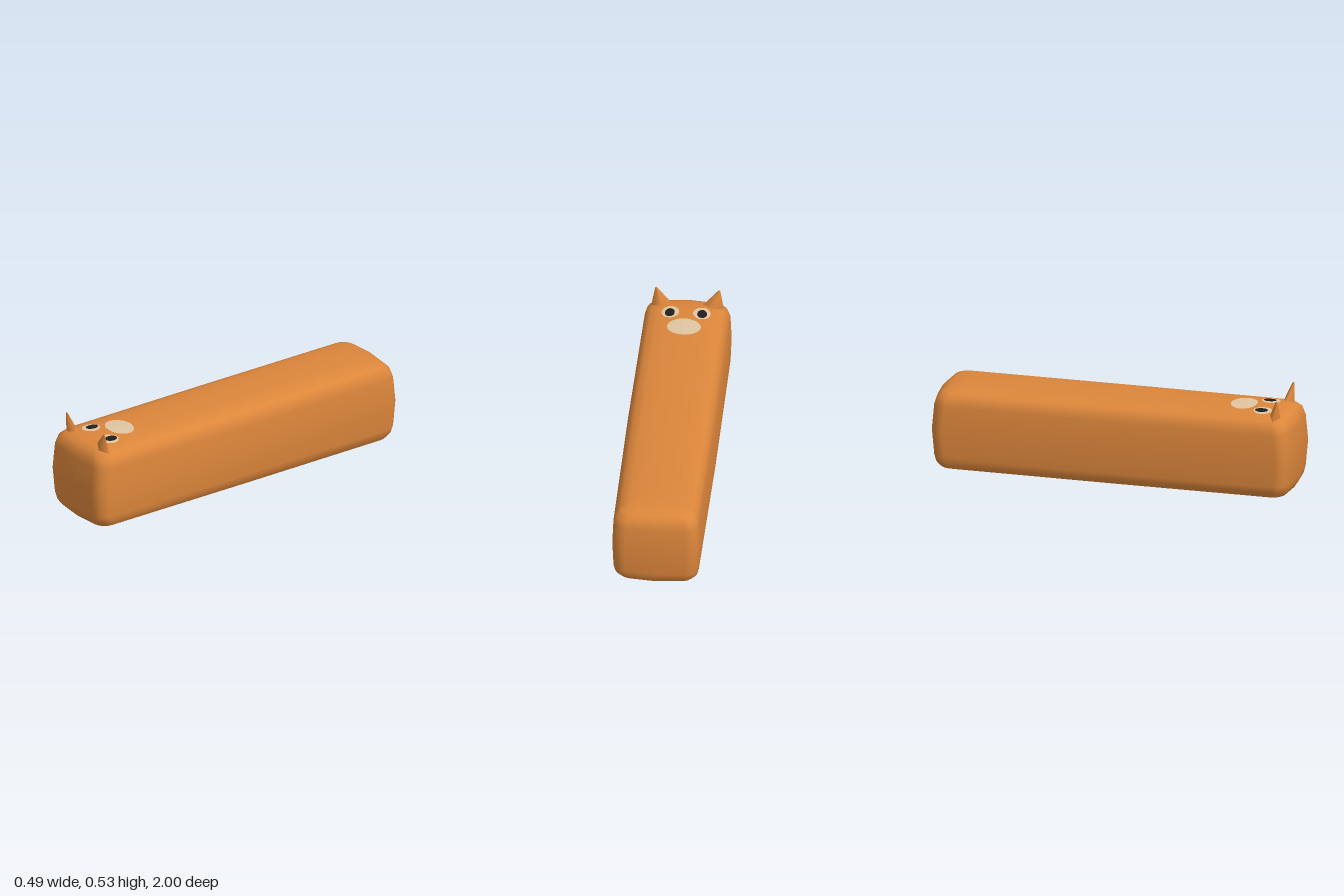
import * as THREE from 'three';
import { mergeVertices } from 'three/addons/utils/BufferGeometryUtils.js';

// Body levels from the open bottom to the ridge: height, half width, half length, side bulge
const LEVELS = [
  [0, 0.205, 0.96, 0.003], [0.03, 0.225, 0.98, 0.004], [0.065, 0.233, 0.988, 0.005],
  [0.21, 0.245, 1, 0.012], [0.35, 0.233, 0.988, 0.005], [0.395, 0.22, 0.975, 0.004],
  [0.42, 0.195, 0.952, 0.003], [0.434, 0.155, 0.92, 0.002], [0.442, 0.09, 0.855, 0],
  [0.445, 0, 0.765, 0],
];

// Rounded rectangle with gently bowed sides, as [x, z] points
function outline(hx, hz, bulge) {
  const r = Math.min(0.07, hx), bow = Math.min(0.012, hx * 0.06);
  const q = [[hx, 0]];
  for (let k = 0; k <= 5; k++) {
    const a = (k / 5) * Math.PI / 2;
    q.push([Math.max(0, hx - bulge - r + r * Math.cos(a)), hz - bow - r + r * Math.sin(a)]);
  }
  q.push([0, hz]);
  const back = [...q].reverse();
  return [
    ...q,
    ...back.slice(1).map(([x, z]) => [-x, z]),
    ...q.slice(1).map(([x, z]) => [-x, -z]),
    ...back.slice(1, -1).map(([x, z]) => [x, -z]),
  ];
}

// Joins equal-length rings of [x, y, z] points into a smooth skin
function skin(rings) {
  const n = rings[0].length, index = [];
  for (let j = 0; j < rings.length - 1; j++) {
    for (let i = 0; i < n; i++) {
      const a = j * n + i, c = j * n + (i + 1) % n;
      index.push(a, a + n, c, c, a + n, c + n);
    }
  }
  const g = new THREE.BufferGeometry();
  g.setAttribute('position', new THREE.Float32BufferAttribute(rings.flat(2), 3));
  g.setIndex(index);
  const merged = mergeVertices(g, 1e-5);
  merged.computeVertexNormals();
  return merged;
}

// Height of the domed top, from the levels
function topHeight(x, z) {
  const along = (v, c) => {
    for (let i = LEVELS.length - 1; i > 3; i--) {
      const a = LEVELS[i], b = LEVELS[i - 1];
      if (v <= a[c]) return a[0];
      if (v <= b[c]) return a[0] + (b[0] - a[0]) * (v - a[c]) / (b[c] - a[c]);
    }
    return LEVELS[3][0];
  };
  return Math.min(along(Math.abs(x), 1), along(Math.abs(z), 2));
}

// Thin oval patch that follows the top
function patch(cx, cz, rx, rz, lift) {
  const g = new THREE.RingGeometry(0.001, 1, 32, 5);
  g.rotateX(-Math.PI / 2);
  g.scale(rx, 1, rz);
  g.translate(cx, 0, cz);
  const p = g.attributes.position;
  for (let i = 0; i < p.count; i++) p.setY(i, topHeight(p.getX(i), p.getZ(i)) + lift);
  g.computeVertexNormals();
  return g;
}

export function createModel() {
  const group = new THREE.Group();
  const material = (name, color, side = THREE.FrontSide) => {
    const m = new THREE.MeshStandardMaterial({ color, side });
    m.name = name;
    return m;
  };
  const orange = material('orange fur', 0xdc863b, THREE.DoubleSide);
  const cream = material('cream', 0xe0c5a2);
  const black = material('black', 0x231c1c);
  const add = (name, geometry, mat) => {
    const mesh = new THREE.Mesh(geometry, mat);
    mesh.name = name;
    group.add(mesh);
  };

  // Long rounded body, open underneath
  add('body', skin(LEVELS.map(([y, hx, hz, b]) => outline(hx, hz, b).map(([x, z]) => [x, y, z]))), orange);

  // Face on top of the front end
  add('muzzle', patch(0, 0.685, 0.09, 0.07, 0.0015), cream);
  for (const [side, s] of [['left', 1], ['right', -1]]) {
    add(side + 'Eye', patch(s * 0.084, 0.81, 0.047, 0.05, 0.0015), cream);
    add(side + 'Pupil', patch(s * 0.086, 0.803, 0.026, 0.035, 0.003), black);

    // Four-sided ear leaning outwards, with a blunt tip
    const ring = (inner, innerY, outer, outerY, z, depth) => {
      const mid = (inner + outer) / 2, midY = (innerY + outerY) / 2;
      const pts = [[outer, outerY, z], [mid, midY, z + depth], [inner, innerY, z], [mid, midY, z - depth]];
      return s > 0 ? pts : pts.map(([x, y, w]) => [-x, y, w]).reverse();
    };
    add(side + 'Ear', skin([
      ring(0.086, 0.442, 0.194, 0.415, 0.892, 0.03),
      ring(0.162, 0.525, 0.174, 0.523, 0.908, 0.005),
      ring(0.168, 0.529, 0.168, 0.529, 0.908, 0),
    ]), orange);
  }
  return group;
}
